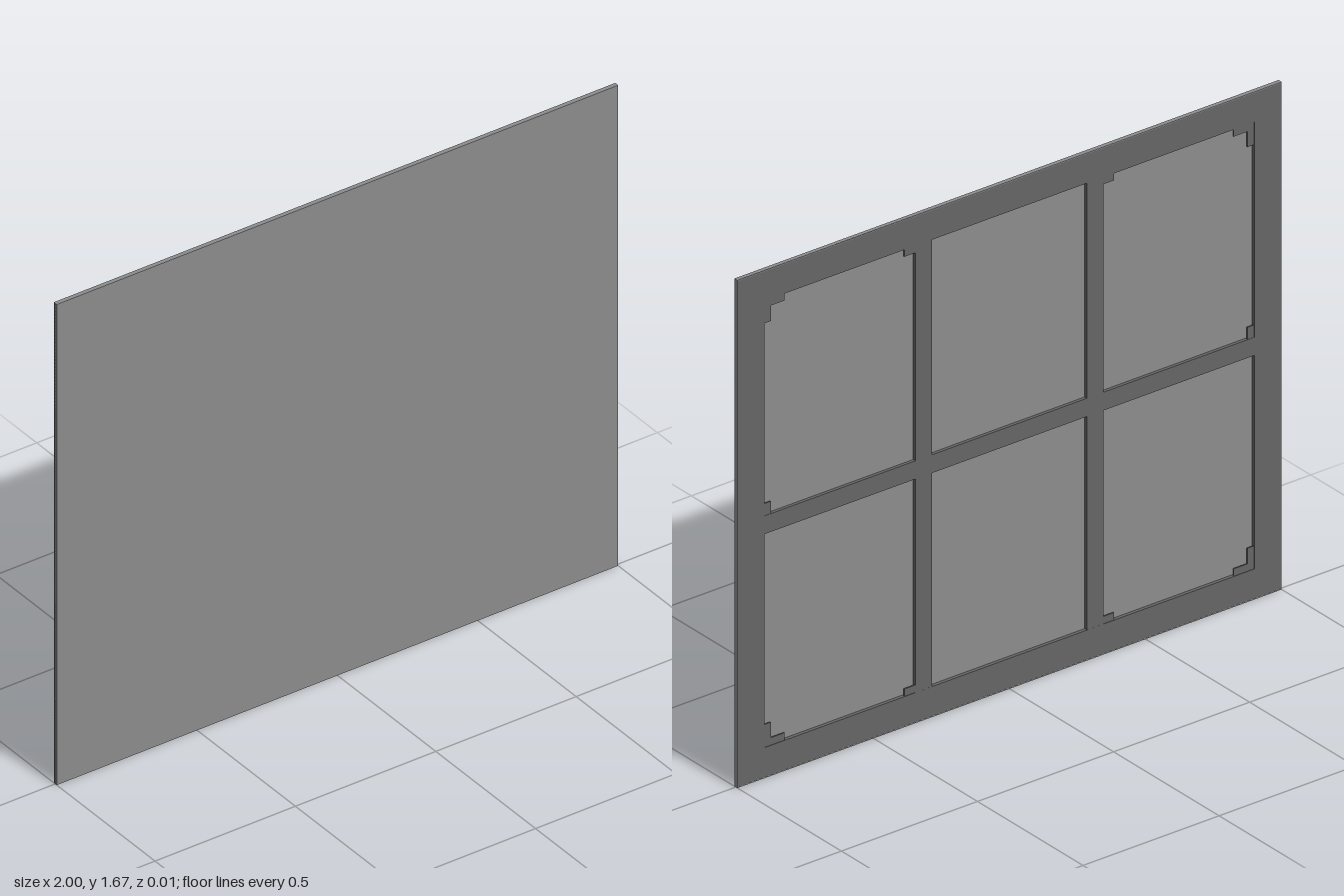
import * as THREE from 'three';

const W = 2, H = 1.67, D = 0.015;   // overall size
const SKIN = 0.003;                 // canvas thickness
const BORDER = 0.1, BAR = 0.06;     // frame and crossbar widths
const BAR_X = 0.315, MID_Y = H / 2 - 0.003;
const FRONT = D / 2 - SKIN, BACK = -D / 2;

const canvas = new THREE.MeshStandardMaterial({ color: 0x8c8c8c });
const wood = new THREE.MeshStandardMaterial({ color: 0x656565 });

function box(name, material, w, h, x, y, zBack, zFront) {
  const mesh = new THREE.Mesh(new THREE.BoxGeometry(w, h, zFront - zBack), material);
  mesh.position.set(x, y, (zBack + zFront) / 2);
  mesh.name = name;
  return mesh;
}

// One mitred frame side, lying along the bottom edge and centred on x
function frameSide(name, length) {
  const l = length / 2;
  const shape = new THREE.Shape([
    new THREE.Vector2(-l, 0), new THREE.Vector2(l, 0),
    new THREE.Vector2(l - BORDER, BORDER), new THREE.Vector2(-l + BORDER, BORDER),
  ]);
  const geometry = new THREE.ExtrudeGeometry(shape, { depth: FRONT - BACK - 0.0004, bevelEnabled: false });
  const mesh = new THREE.Mesh(geometry, wood);
  mesh.position.z = BACK + 0.0004;
  mesh.name = name;
  return mesh;
}

export function createModel() {
  const group = new THREE.Group();
  group.name = 'stretchedCanvas';

  // Canvas face and its wrapped edges
  group.add(box('canvasFace', canvas, W, H, 0, H / 2, FRONT, D / 2));
  for (const s of [-1, 1]) {
    group.add(box('canvasSideEdge', canvas, SKIN, H, s * (W - SKIN) / 2, H / 2, BACK, FRONT));
    group.add(box('canvasLongEdge', canvas, W - 2 * SKIN, SKIN, 0, H / 2 + s * (H - SKIN) / 2, BACK, FRONT));
  }

  // Mitred stretcher frame
  const sides = [
    ['frameBottom', W, 0, 0, 0], ['frameTop', W, 0, H, Math.PI],
    ['frameLeft', H, W / 2, H / 2, Math.PI / 2], ['frameRight', H, -W / 2, H / 2, -Math.PI / 2],
  ];
  for (const [name, length, x, y, angle] of sides) {
    const side = frameSide(name, length);
    side.position.x = x;
    side.position.y = y;
    side.rotation.z = angle;
    group.add(side);
  }

  // Crossbars
  const innerX = W / 2 - BORDER, innerTop = H - BORDER;
  group.add(box('middleBar', wood, 2 * innerX, BAR, 0, MID_Y, BACK + 0.0012, FRONT));
  for (const s of [-1, 1]) {
    group.add(box('uprightBar', wood, BAR, H - 2 * BORDER, s * BAR_X, H / 2, BACK + 0.0006, FRONT));
  }

  // Wedges: a pair in each corner, and one beside each crossbar joint
  const L = 0.075, T = 0.024, S = 0.04, zb = BACK + 0.002, zf = BACK + 0.006;
  for (const s of [-1, 1]) {
    for (const [edge, dir] of [[BORDER, 1], [innerTop, -1]]) {
      group.add(box('cornerWedge', wood, T, L, s * (innerX - T / 2), edge + dir * L / 2, zb, zf));
      group.add(box('cornerWedge', wood, L - T, T, s * (innerX - (L + T) / 2), edge + dir * T / 2, zb, zf));
      group.add(box('uprightWedge', wood, S, T, s * (BAR_X + (BAR + S) / 2), edge + dir * T / 2, zb, zf));
    }
    group.add(box('middleWedge', wood, T, S, s * (innerX - T / 2), MID_Y + (BAR + S) / 2, zb, zf));
  }
  return group;
}
